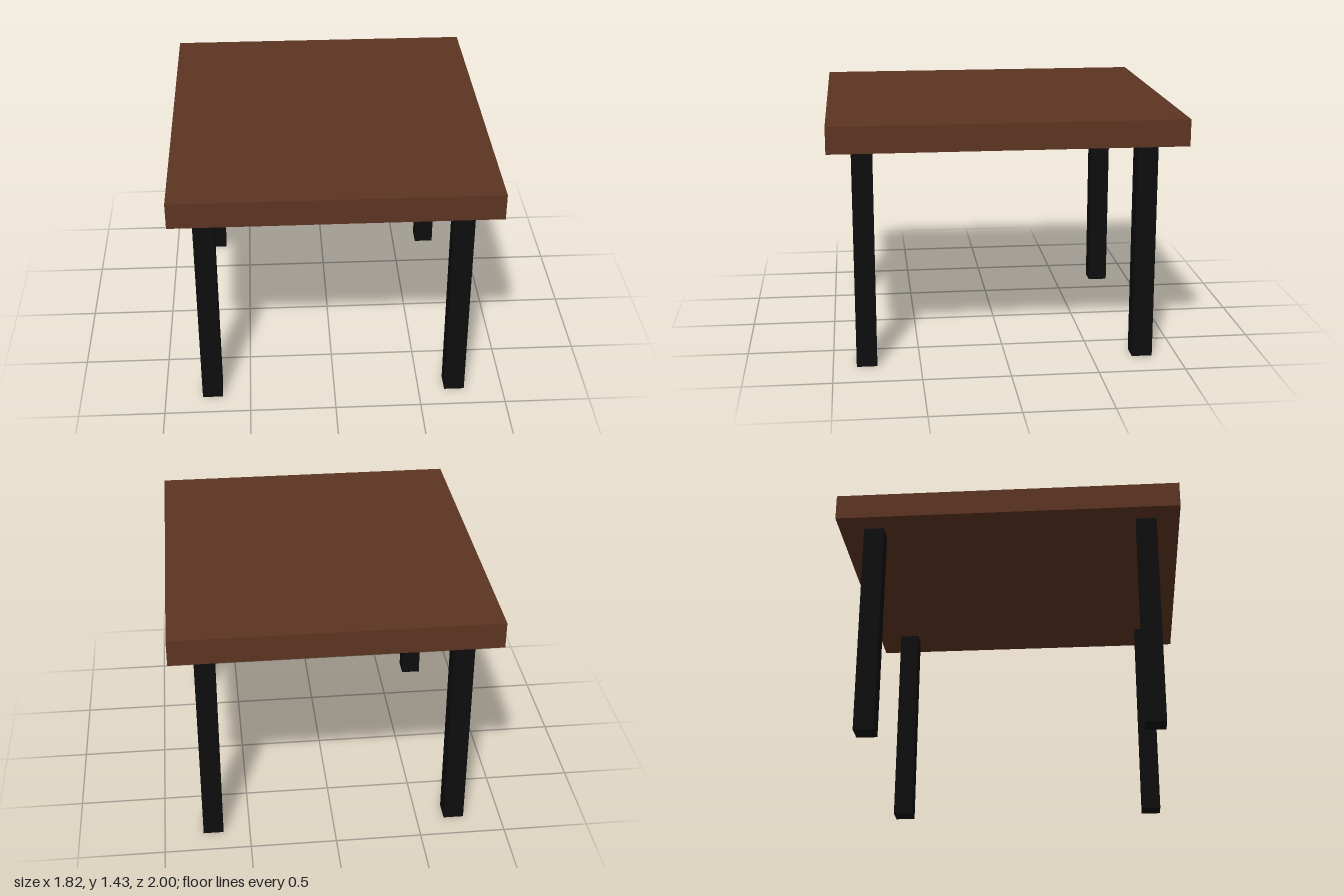
import * as THREE from 'three';

export function createModel() {
  const wood = new THREE.MeshStandardMaterial({ color: 0x5c3422 });
  wood.name = 'brown wood';
  const black = new THREE.MeshStandardMaterial({ color: 0x0d0d0d });
  black.name = 'black';

  const table = new THREE.Group();
  table.name = 'table';

  const legHeight = 1.28;
  const topThickness = 0.152;
  const legWidth = 0.118;

  // Thick slab top
  const top = new THREE.Mesh(new THREE.BoxGeometry(1.82, topThickness, 2), wood);
  top.name = 'tableTop';
  top.position.y = legHeight + topThickness / 2;
  table.add(top);

  // Four square legs, set in from the corners and very slightly off centre
  const legGeometry = new THREE.BoxGeometry(legWidth, legHeight, legWidth);
  for (const [side, x] of [['Left', 0.714], ['Right', -0.723]]) {
    for (const [end, z] of [['front', 0.807], ['back', -0.795]]) {
      const leg = new THREE.Mesh(legGeometry, black);
      leg.name = `${end}${side}Leg`;
      leg.position.set(x, legHeight / 2, z);
      table.add(leg);
    }
  }

  return table;
}
